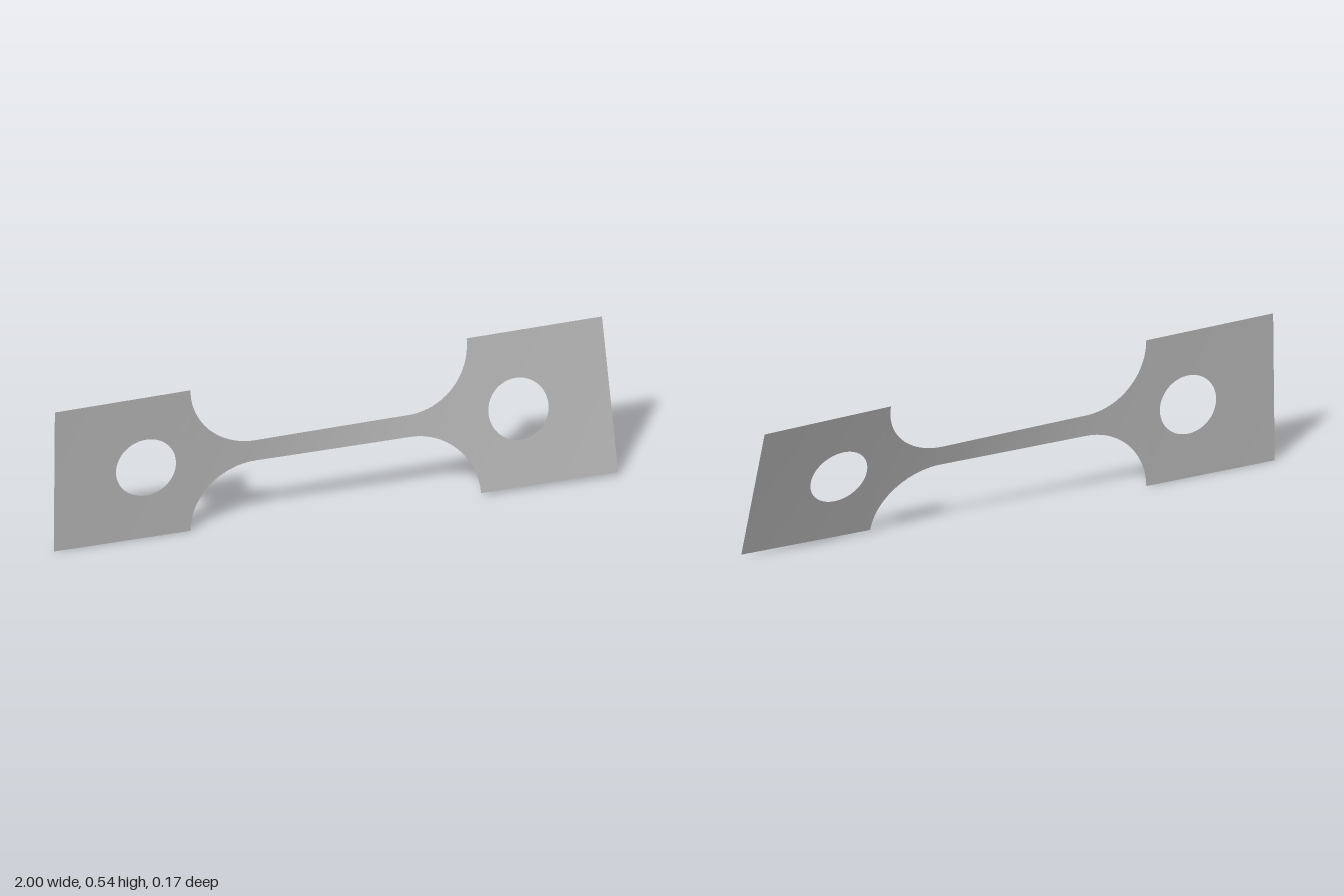
import * as THREE from 'three';

const HALF = 0.271;      // half height of the grips, also height of the axis
const NECK = 0.0385;     // half height of the neck
const R = HALF - NECK;   // fillet radius
const GRIP_X = 0.51;     // where the grips begin
const FILLET_X = GRIP_X - R;
const HOLE_X = 0.67, HOLE_R = 0.108;

// Twist in degrees along x: slow in the wide grips, fast in the neck
const KEYS = [[-1, -1.2], [-GRIP_X, 0], [-FILLET_X, 1.8], [FILLET_X, 14.8], [GRIP_X, 16.6], [1, 18.6]];
function twist(x) {
  let i = 0;
  while (i < KEYS.length - 2 && x > KEYS[i + 1][0]) i++;
  const [a, b] = [KEYS[i], KEYS[i + 1]];
  return THREE.MathUtils.degToRad(THREE.MathUtils.mapLinear(x, a[0], b[0], a[1], b[1]));
}

// Thin sheet: point(i, j) gives flat [x, y], which is then twisted about the x axis
function sheet(name, nu, nv, point, material) {
  const geo = new THREE.PlaneGeometry(1, 1, nu, nv);
  const pos = geo.attributes.position;
  for (let j = 0; j <= nv; j++) {
    for (let i = 0; i <= nu; i++) {
      const [x, y] = point(i, nv - j);
      const a = twist(x);
      pos.setXYZ(j * (nu + 1) + i, x, HALF + y * Math.cos(a), -y * Math.sin(a));
    }
  }
  geo.computeVertexNormals();
  const mesh = new THREE.Mesh(geo, material);
  mesh.name = name;
  return mesh;
}

export function createModel() {
  const group = new THREE.Group();
  group.name = 'twistedTestStrip';
  const steel = new THREE.MeshStandardMaterial({ color: 0xb0b0b0, side: THREE.DoubleSide });
  steel.name = 'grey steel';

  // Stations [x, half height] of the neck with a rounded fillet at each end
  const N = 24;
  const right = [];
  for (let i = 0; i <= N; i++) right.push([FILLET_X * i / N, NECK]);
  for (let i = 1; i <= N; i++) {
    const t = (i / N) * Math.PI / 2;
    right.push([FILLET_X + R * Math.sin(t), HALF - R * Math.cos(t)]);
  }
  const left = right.slice(1).reverse().map(([x, w]) => [-x, w]);
  const stations = [...left, ...right];
  const across = 12;
  group.add(sheet('neck', stations.length - 1, across, (i, j) => {
    const [x, w] = stations[i];
    return [x, w * (2 * j / across - 1)];
  }, steel));

  // Grips: rings running from the rectangular outline in to the round hole
  const side = 20, rings = 8;
  for (const s of [-1, 1]) {
    const x0 = s < 0 ? -1 : GRIP_X, x1 = s < 0 ? -GRIP_X : 1;
    const corners = [[x0, -HALF], [x1, -HALF], [x1, HALF], [x0, HALF]];
    const cx = s * HOLE_X;
    group.add(sheet(s < 0 ? 'rightGrip' : 'leftGrip', side * 4, rings, (i, j) => {
      const k = Math.floor(i / side) % 4, f = (i % side) / side;
      const a = corners[k], b = corners[(k + 1) % 4];
      const ox = a[0] + (b[0] - a[0]) * f, oy = a[1] + (b[1] - a[1]) * f;
      const d = Math.hypot(ox - cx, oy), v = j / rings;
      const hx = cx + (ox - cx) * HOLE_R / d, hy = oy * HOLE_R / d;
      return [ox + (hx - ox) * v, oy + (hy - oy) * v];
    }, steel));
  }
  return group;
}
